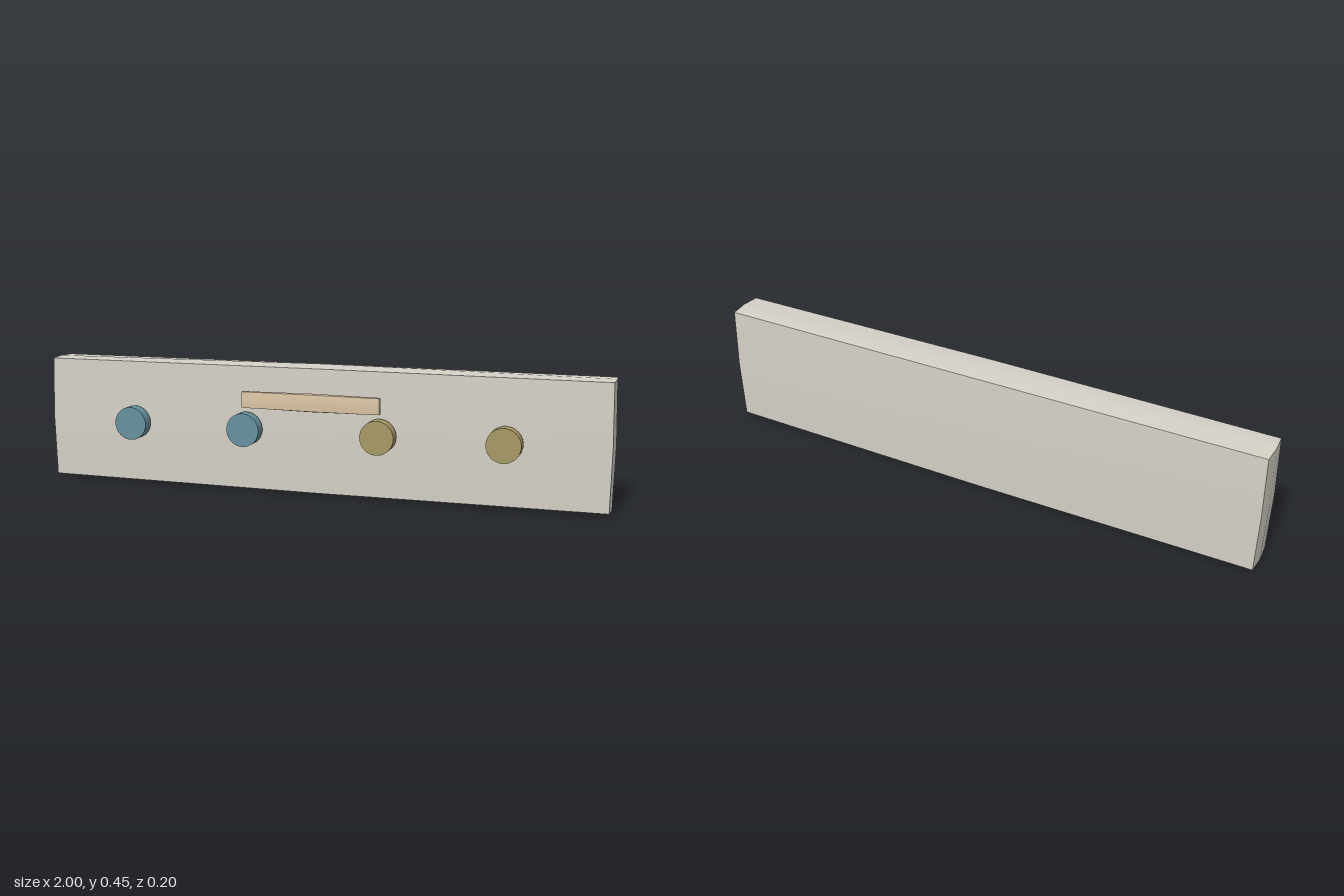
import * as THREE from 'three';

// Box whose faces swell gently: each axis gives [half size at face centre, edge middle, corner]
function pillowBox(x, y, z) {
  const geo = new THREE.BoxGeometry(2, 2, 2, 2, 2, 2);
  const p = geo.attributes.position;
  for (let i = 0; i < p.count; i++) {
    const v = [p.getX(i), p.getY(i), p.getZ(i)].map(Math.round);
    const n = v.filter((c) => c !== 0).length - 1;
    p.setXYZ(i, v[0] * x[n], v[1] * y[n], v[2] * z[n]);
  }
  geo.computeVertexNormals();
  return geo;
}

export function createModel() {
  const group = new THREE.Group();
  const mat = (name, color) => {
    const m = new THREE.MeshStandardMaterial({ color });
    m.name = name;
    return m;
  };
  const stone = mat('warm grey', 0xd5d1c7);
  const teal = mat('teal', 0x66929f);
  const ochre = mat('ochre', 0xa79965);
  const tan = mat('tan', 0xdcc6a6);

  const add = (name, geo, material, x, y, z) => {
    const mesh = new THREE.Mesh(geo, material);
    mesh.name = name;
    mesh.position.set(x, y, z);
    group.add(mesh);
    return mesh;
  };

  // Long swollen panel
  add('panel', pillowBox([1, 0.995, 0.991], [0.224, 0.2155, 0.213], [0.0755, 0.068, 0.0645]),
    stone, 0, 0.224, -0.0255);

  // Slim bar in front of the panel
  add('bar', pillowBox([0.244, 0.243, 0.242], [0.0315, 0.0285, 0.0275], [0.013, 0.0105, 0.009]),
    tan, 0, 0.3305, 0.09);

  // Row of round knobs
  const knob = new THREE.CylinderGeometry(0.058, 0.058, 0.043, 40).rotateX(Math.PI / 2);
  [[-0.661, teal], [-0.24, teal], [0.234, ochre], [0.656, ochre]].forEach(([x, m], i) =>
    add('knob' + (i + 1), knob, m, x, 0.225, 0.0805));

  return group;
}
